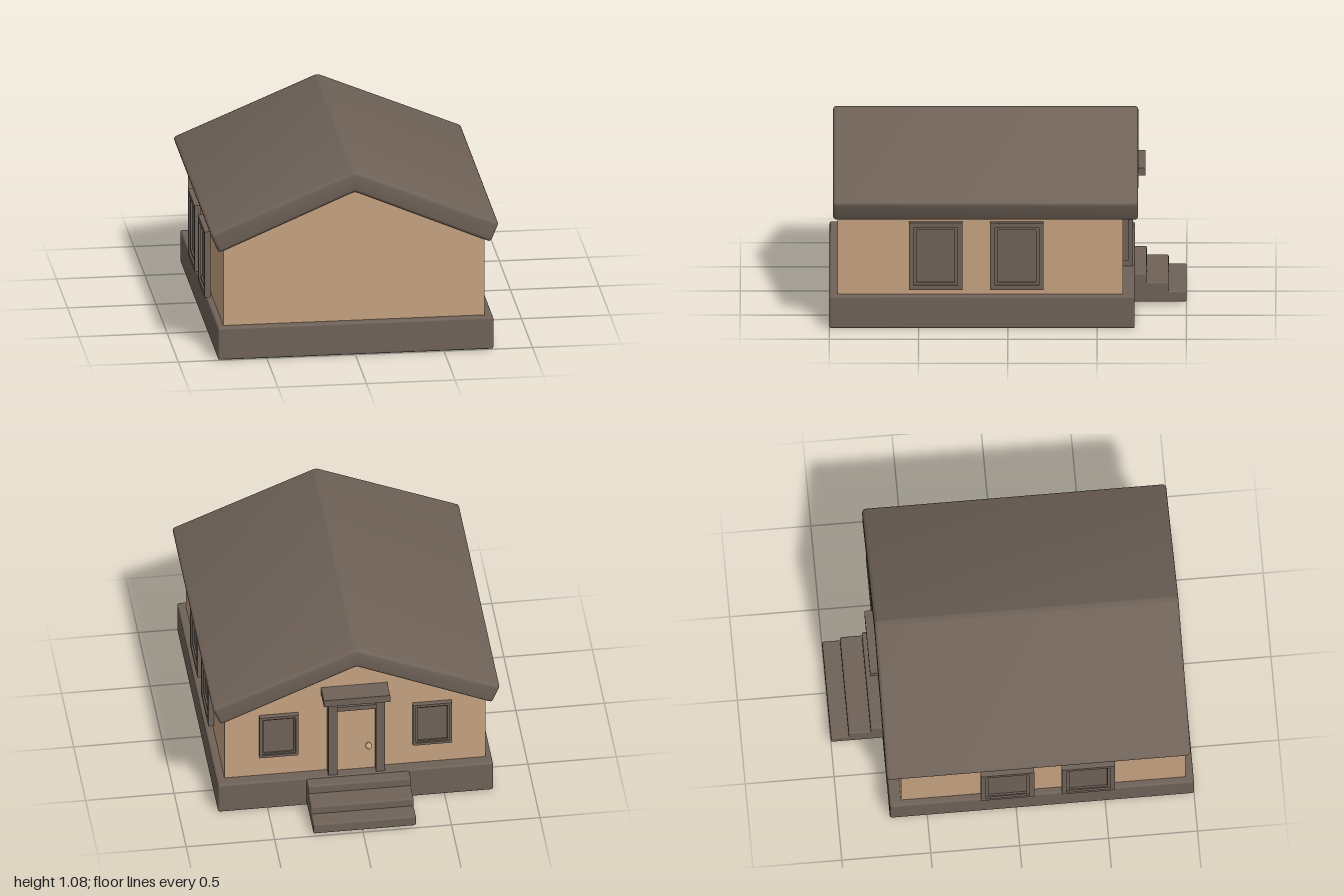
import * as THREE from 'three';
import { toCreasedNormals } from 'three/addons/utils/BufferGeometryUtils.js';
import { RoundedBoxGeometry } from 'three/addons/geometries/RoundedBoxGeometry.js';

const brown = new THREE.MeshStandardMaterial({ name: 'brown', color: 0x6f6258 });
const tan = new THREE.MeshStandardMaterial({ name: 'tan', color: 0xc6a280 });

function add(parent, name, geometry, material) {
  const mesh = new THREE.Mesh(geometry, material);
  mesh.name = name;
  parent.add(mesh);
  return mesh;
}

// Box given by its limits, with rounded edges when r > 0
function block(parent, name, [x0, x1], [y0, y1], [z0, z1], material, r = 0) {
  const size = [x1 - x0, y1 - y0, z1 - z0];
  const geometry = r ? new RoundedBoxGeometry(...size, 3, r) : new THREE.BoxGeometry(...size);
  const mesh = add(parent, name, geometry, material);
  mesh.position.set((x0 + x1) / 2, (y0 + y1) / 2, (z0 + z1) / 2);
  return mesh;
}

// Closed outline with its corners rounded
function roundedShape(points, r) {
  const p = points.map(([x, y]) => new THREE.Vector2(x, y));
  const shape = new THREE.Shape();
  p.forEach((c, i) => {
    const prev = p[(i + p.length - 1) % p.length], next = p[(i + 1) % p.length];
    const a = prev.clone().sub(c).setLength(r).add(c);
    const b = next.clone().sub(c).setLength(r).add(c);
    if (i) shape.lineTo(a.x, a.y); else shape.moveTo(a.x, a.y);
    shape.quadraticCurveTo(c.x, c.y, b.x, b.y);
  });
  shape.closePath();
  return shape;
}

function rectangle(w, h, Type) {
  return new Type().setFromPoints([[-1, -1], [1, -1], [1, 1], [-1, 1]]
    .map(([x, y]) => new THREE.Vector2(x * w / 2, y * h / 2)));
}

// Picture-frame ring of the given border and depth, facing +z
function ring(w, h, border, depth) {
  const shape = rectangle(w, h, THREE.Shape);
  shape.holes.push(rectangle(w - 2 * border, h - 2 * border, THREE.Path));
  return new THREE.ExtrudeGeometry(shape, { depth, bevelEnabled: false });
}

function makeWindow(name, w, h, border, depth) {
  const group = new THREE.Group();
  group.name = name;
  add(group, 'windowFrame', ring(w, h, border, depth), brown);
  const w2 = w - 2 * border, h2 = h - 2 * border;
  add(group, 'windowMoulding', ring(w2, h2, border * 0.6, depth * 0.7), brown);
  block(group, 'windowPane', [-w2 / 2, w2 / 2], [-h2 / 2, h2 / 2], [0, depth * 0.4], brown);
  return group;
}

export function createModel() {
  const house = new THREE.Group();
  house.name = 'house';

  // Foundation and gabled walls
  block(house, 'foundation', [-0.775, 0.78], [0, 0.19], [-0.71, 1], brown, 0.012);
  const wallShape = new THREE.Shape([[-0.74, 0.18], [0.735, 0.18], [0.735, 0.66], [0, 0.97], [-0.74, 0.66]]
    .map(([x, y]) => new THREE.Vector2(x, y)));
  const walls = new THREE.ExtrudeGeometry(wallShape, { depth: 1.6, bevelEnabled: false });
  add(house, 'walls', walls.translate(0, 0, -0.645), tan);

  // Thick roof with soft edges
  const roofShape = roundedShape([
    [-0.768, 0.624], [0, 0.955], [0.768, 0.624], [0.815, 0.738], [0, 1.08], [-0.815, 0.738],
  ], 0.02);
  const roof = new THREE.ExtrudeGeometry(roofShape, {
    depth: 1.67, bevelThickness: 0.02, bevelSize: 0.02, bevelOffset: -0.02, bevelSegments: 3, curveSegments: 4,
  });
  add(house, 'roof', toCreasedNormals(roof.translate(0, 0, -0.71), 0.6), brown);

  // Two tall windows on each side
  for (const z of [0.405, -0.05]) {
    const left = makeWindow('leftWindow', 0.3, 0.39, 0.027, 0.032);
    left.position.set(0.734, 0.415, z);
    left.rotation.y = Math.PI / 2;
    const right = makeWindow('rightWindow', 0.3, 0.39, 0.027, 0.034);
    right.position.set(-0.762, 0.415, z);
    right.rotation.y = -Math.PI / 2;
    house.add(left, right);
  }

  // Smaller windows either side of the door
  for (const x of [0.43, -0.437]) {
    const back = makeWindow('backWindow', 0.22, 0.28, 0.016, 0.03);
    back.position.set(x, 0.47, -0.645);
    back.rotation.y = Math.PI;
    house.add(back);
  }

  // Entrance: door, posts, lintel, canopy and knob
  const entrance = new THREE.Group();
  entrance.name = 'entrance';
  house.add(entrance);
  block(entrance, 'door', [-0.115, 0.105], [0.19, 0.62], [-0.658, -0.64], tan);
  block(entrance, 'doorPost', [0.105, 0.155], [0.18, 0.73], [-0.7, -0.64], brown);
  block(entrance, 'doorPost', [-0.165, -0.115], [0.18, 0.73], [-0.7, -0.64], brown);
  block(entrance, 'lintel', [-0.115, 0.105], [0.62, 0.65], [-0.685, -0.64], brown);
  block(entrance, 'transom', [-0.115, 0.105], [0.65, 0.73], [-0.665, -0.64], brown);
  block(entrance, 'canopy', [-0.185, 0.19], [0.725, 0.77], [-0.77, -0.64], brown);
  const knob = add(entrance, 'doorKnob', new THREE.SphereGeometry(0.019, 16, 12), tan);
  knob.position.set(-0.075, 0.36, -0.683);
  const stem = add(entrance, 'knobStem', new THREE.CylinderGeometry(0.01, 0.01, 0.03, 12), tan);
  stem.rotation.x = Math.PI / 2;
  stem.position.set(-0.075, 0.36, -0.668);

  // Three steps up to the door
  [[0.015, 0.08, -1], [0.06, 0.13, -0.9], [0.11, 0.182, -0.777]].forEach(([y0, y1, z]) =>
    block(house, 'step', [-0.3, 0.28], [y0, y1], [z, -0.69], brown, 0.01));

  return house;
}
